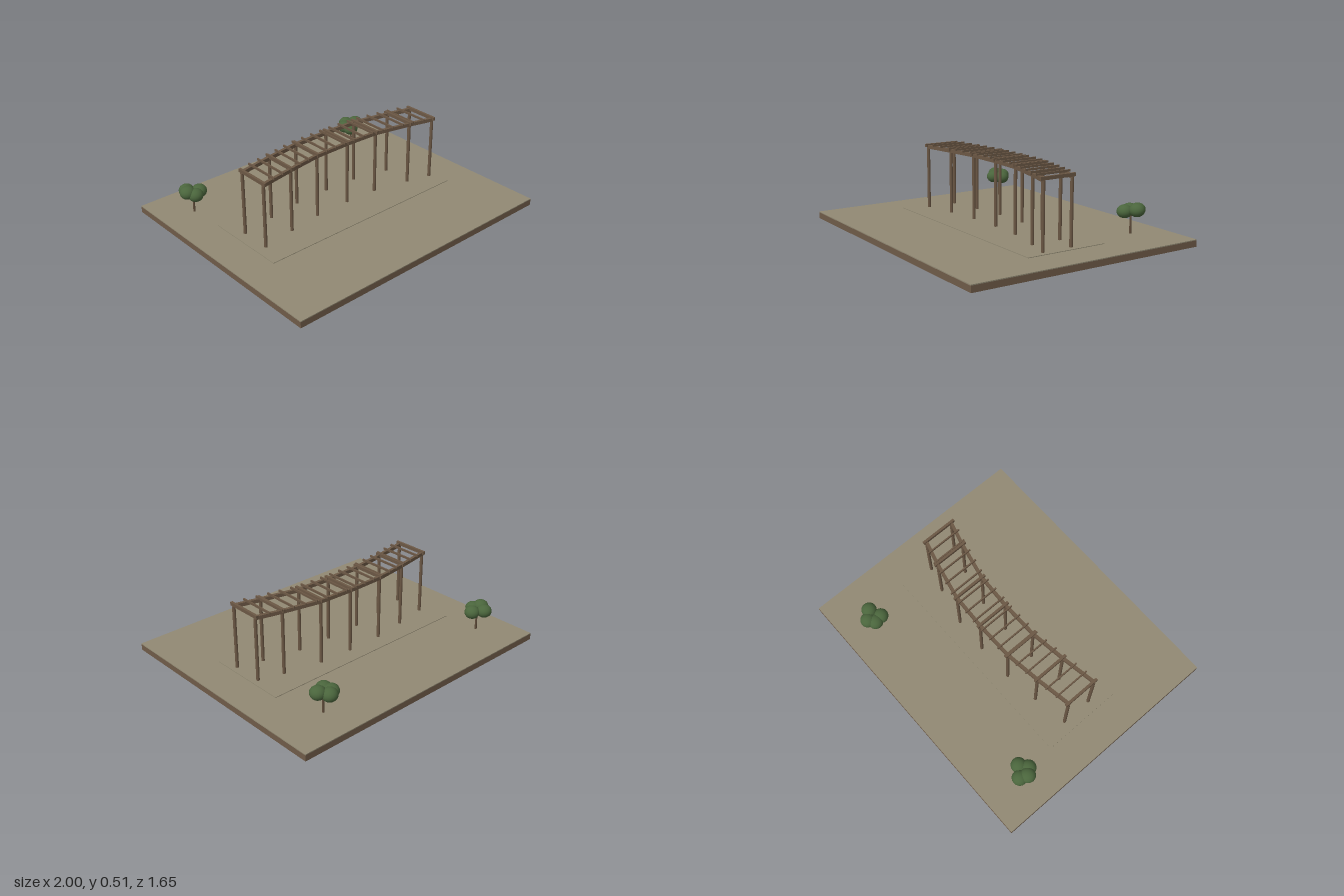
import * as THREE from 'three';

const mat = (name, color) => Object.assign(new THREE.MeshStandardMaterial({ color }), { name });

export function createModel() {
  const gravel = mat('gravel', 0x918973);
  const earth = mat('earth', 0x6f5b48);
  const timber = mat('timber', 0x6b5744);
  const bark = mat('bark', 0x5f4c3a);
  const foliage = mat('foliage', 0x4a653c);

  const model = new THREE.Group();
  model.name = 'pergolaGarden';

  const add = (parent, name, geometry, material, x, y, z) => {
    const mesh = new THREE.Mesh(geometry, material);
    mesh.name = name;
    mesh.position.set(x, y, z);
    parent.add(mesh);
    return mesh;
  };
  const box = (parent, name, material, size, pos) =>
    add(parent, name, new THREE.BoxGeometry(...size), material, ...pos);

  // Ground block, its gravel surface and the raised terrace
  box(model, 'base', earth, [2, 0.041, 1.65], [0, 0.0205, 0]);
  box(model, 'ground', gravel, [2, 0.006, 1.65], [0, 0.044, 0]);
  box(model, 'terrace', gravel, [1.53, 0.004, 0.57], [0, 0.049, 0.003]);

  // Bent pergola: centre line through the post pairs
  const pergola = new THREE.Group();
  pergola.name = 'pergola';
  model.add(pergola);
  const halfWidth = 0.105;
  const line = [[-0.69, 0.012], [-0.45, -0.029], [-0.21, -0.062], [0.05, -0.065],
    [0.29, -0.054], [0.55, 0.002], [0.72, 0.048]];
  const centreZ = (x) => {
    let i = 0;
    while (i < line.length - 2 && x > line[i + 1][0]) i++;
    const [[x0, z0], [x1, z1]] = [line[i], line[i + 1]];
    return z0 + (z1 - z0) * (x - x0) / (x1 - x0);
  };

  // Posts, cross beams and the long beams between neighbouring posts
  line.forEach(([x, z], i) => {
    for (const side of [-1, 1]) {
      const pz = z + side * halfWidth;
      add(pergola, 'post', new THREE.CylinderGeometry(0.011, 0.011, 0.43, 12), timber, x, 0.265, pz);
      if (i < line.length - 1) {
        const [nx, nz] = line[i + 1];
        const dx = nx - x, dz = nz - z;
        const beam = box(pergola, 'longBeam', timber, [Math.hypot(dx, dz) + 0.012, 0.024, 0.02],
          [x + dx / 2, 0.484, pz + dz / 2]);
        beam.rotation.y = -Math.atan2(dz, dx);
      }
    }
    box(pergola, 'crossBeam', timber, [0.017, 0.022, 0.255], [x, 0.494, z]);
  });

  // Thin rafters at even spacing
  const spacing = (0.72 + 0.69) / 18;
  for (let i = 1; i < 18; i++) {
    const x = -0.69 + i * spacing;
    box(pergola, 'rafter', timber, [0.009, 0.014, 0.255], [x, 0.502, centreZ(x)]);
  }

  // Trees: tapered trunk and four rounded leaf clumps [x, y, z]
  const trees = [
    { trunk: [-0.775, -0.535],
      clumps: [[-0.795, 0.193, -0.578], [-0.73, 0.188, -0.53], [-0.818, 0.205, -0.53], [-0.782, 0.19, -0.493]] },
    { trunk: [0.655, -0.585],
      clumps: [[0.615, 0.19, -0.61], [0.655, 0.195, -0.642], [0.703, 0.205, -0.593], [0.626, 0.188, -0.558]] },
  ];
  const leafGeometry = new THREE.SphereGeometry(0.051, 20, 14);
  for (const { trunk: [x, z], clumps } of trees) {
    const tree = new THREE.Group();
    tree.name = 'tree';
    model.add(tree);
    add(tree, 'trunk', new THREE.CylinderGeometry(0.005, 0.008, 0.14, 10), bark, x, 0.115, z);
    for (const c of clumps) add(tree, 'leafClump', leafGeometry, foliage, ...c).scale.y = 0.86;
  }

  return model;
}
